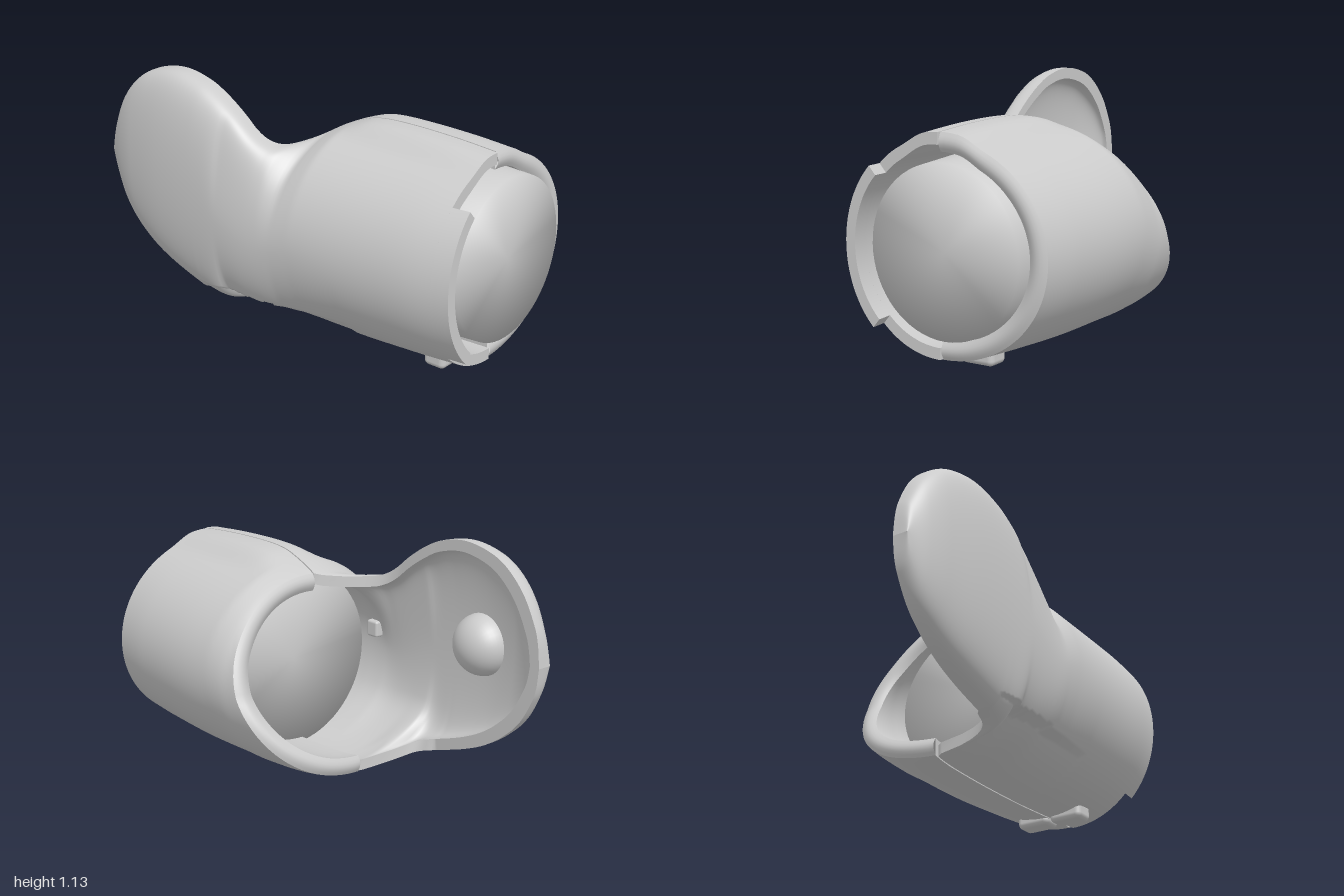
import * as THREE from 'three';
import { mergeVertices, mergeGeometries } from 'three/addons/utils/BufferGeometryUtils.js';
import { RoundedBoxGeometry } from 'three/addons/geometries/RoundedBoxGeometry.js';

const { clamp, lerp, smoothstep } = THREE.MathUtils;

// Smooth curve through [x, value] points
function curve(pts) {
  const n = pts.length;
  const slope = i => {
    const a = pts[Math.max(i - 1, 0)], b = pts[Math.min(i + 1, n - 1)];
    return (b[1] - a[1]) / (b[0] - a[0]);
  };
  return x => {
    if (x <= pts[0][0]) return pts[0][1];
    if (x >= pts[n - 1][0]) return pts[n - 1][1];
    let i = 0;
    while (x > pts[i + 1][0]) i++;
    const [x0, y0] = pts[i], [x1, y1] = pts[i + 1], d = x1 - x0, t = (x - x0) / d;
    const t2 = t * t, t3 = t2 * t;
    return (2 * t3 - 3 * t2 + 1) * y0 + (t3 - 2 * t2 + t) * d * slope(i)
      + (3 * t2 - 2 * t3) * y1 + (t3 - t2) * d * slope(i + 1);
  };
}

// Outlines along x: upper and lower edge, bulge in z, rim position in z
const top = curve([[-1, 0.66], [-0.99, 0.755], [-0.97, 0.83], [-0.9, 0.96], [-0.8, 1.06], [-0.7, 1.11],
  [-0.55, 1.135], [-0.4, 1.11], [-0.3, 1.065], [-0.2, 1.0], [-0.1, 0.92], [-0.04, 0.887], [0, 0.88],
  [0.05, 0.892], [0.1, 0.925], [0.2, 0.97], [0.3, 1.0], [0.45, 1.01], [0.7, 1.005], [0.92, 0.99]]);
const bottom = curve([[-1, 0.66], [-0.99, 0.575], [-0.97, 0.51], [-0.9, 0.39], [-0.8, 0.295], [-0.7, 0.23],
  [-0.6, 0.185], [-0.5, 0.15], [-0.4, 0.12], [-0.3, 0.09], [-0.22, 0.045], [0, 0.025], [0.4, 0.02],
  [0.7, 0.03], [0.92, 0.04]]);
const frontBulge = curve([[-1, 0.42], [-0.9, 0.47], [-0.8, 0.5], [-0.6, 0.525], [-0.3, 0.53], [0, 0.52],
  [0.3, 0.51], [0.6, 0.495], [0.8, 0.48], [1, 0.45]]);
const backBulge = curve([[-0.24, 0.5], [-0.03, 0.52], [0.35, 0.54], [0.7, 0.525], [0.92, 0.5]]);
const upperRim = curve([[-0.35, 0.35], [-0.1, 0.345], [0, 0.28], [0.05, 0.15], [0.09, 0.025], [0.2, 0.025]]);
const lowerRim = curve([[-0.38, 0.35], [-0.29, 0.31], [-0.25, 0.2], [-0.225, 0.025], [-0.1, 0.025]]);
// Roundness of the lower flank, fuller towards the elbow
const lowerPower = curve([[-0.4, 0.55], [-0.25, 0.47], [-0.1, 0.53], [0.1, 0.7], [0.41, 0.97]]);

// One point of a half section; angle 0 is the upper edge, PI the lower edge
function section(x, angle, hi, lo, bulge, rim, thick, inner, flank) {
  const base = x > 0.1 ? Math.min(hi, 0.965) : hi;
  let h = (base - lo) / 2, b = bulge;
  const c = (base + lo) / 2;
  if (inner) {
    h = h * h / (h + 1.2 * thick);
    b -= thick;
  }
  let y = c + h * Math.cos(angle);
  let p = 1 - 0.45 * rim / 0.35;
  // Below the flank the surface drops back to a plain ellipse
  if (flank && Math.cos(angle) < 0) p = lerp(p, flank, inner ? smoothstep(y, 0.12, 0.3) : +(y > 0.17));
  const z = rim + (b - rim) * Math.pow(Math.max(Math.sin(angle), 0), p);
  // Raised ridge along the upper seam
  if (Math.cos(angle) > 0) y += (hi - base) * (1 - smoothstep(z, 0.08, 0.22));
  return new THREE.Vector3(x, y, z);
}

// Grid surface from f(a, b), a and b in 0..1
function grid(f, na, nb, flip) {
  const pos = [], index = [];
  for (let i = 0; i <= na; i++) for (let j = 0; j <= nb; j++) pos.push(...f(i / na, j / nb).toArray());
  for (let i = 0; i < na; i++) for (let j = 0; j < nb; j++) {
    const a = i * (nb + 1) + j, b = a + 1, c = a + nb + 1, d = c + 1;
    index.push(...(flip ? [a, c, b, b, c, d] : [a, b, c, b, d, c]));
  }
  const g = new THREE.BufferGeometry();
  g.setAttribute('position', new THREE.Float32BufferAttribute(pos, 3));
  g.setIndex(index);
  g.computeVertexNormals();
  return g;
}

// Thick shell: outer and inner faces plus four edge walls; ends may be rounded
function shell(point, nu, nv, flip, round = 0) {
  const wall = (u, v, t, dx) => {
    const p = point(u, v, false).lerp(point(u, v, true), t);
    p.x += dx * Math.sin(Math.PI * t);
    return p;
  };
  return mergeGeometries([
    grid((u, v) => point(u, v, false), nu, nv, flip),
    grid((u, v) => point(u, v, true), nu, nv, !flip),
    grid((t, v) => wall(1, v, t, round), 6, nv, flip),
    grid((t, v) => wall(0, v, 1 - t, -round), 6, nv, flip),
    grid((u, t) => wall(u, 0, 1 - t, 0), nu, 1, flip),
    grid((u, t) => wall(u, 1, t, 0), nu, 1, flip),
  ]);
}

export function createModel() {
  const model = new THREE.Group();
  const grey = new THREE.MeshStandardMaterial({ color: 0xcccccc, side: THREE.DoubleSide });
  grey.name = 'light grey';
  const add = (name, geometry, x = 0, y = 0, z = 0) => {
    const mesh = new THREE.Mesh(geometry, grey);
    mesh.name = name;
    mesh.position.set(x, y, z);
    model.add(mesh);
  };

  // Front half with the rounded elbow lobe
  const frontPoint = (x, angle, inner) => {
    const k = (1 - Math.cos(angle)) / 2;
    const rim = clamp(lerp(upperRim(x), lowerRim(x), k), 0.025, 0.35);
    const p = section(x, angle, top(x), bottom(x), frontBulge(x), rim, 0.048, inner, lowerPower(x));
    if (inner) p.x += 0.05 * Math.max(0, -x - 0.3) / 0.7;
    // Shallow recess along the lower edge
    else if (x > -0.39 && x < 0.41 && p.y < 0.17 && p.z > 0.1) p.z -= 0.012;
    return p;
  };
  add('frontShell', shell((u, v, inner) =>
    frontPoint(-1 + 1.92 * Math.pow(u, 1.4), v * Math.PI, inner), 150, 100, false));

  // Lip that extends the middle of the front half
  add('frontLip', shell((u, v, inner) =>
    frontPoint(0.91 + 0.09 * u, 0.75 + v * (Math.PI - 1.48), inner), 4, 36, false));

  // Back half with a slanted opening towards the elbow
  add('backShell', shell((u, v, inner) => {
    const angle = v * Math.PI;
    const start = -0.07 + 0.16 * Math.cos(angle) + 0.04 * Math.sin(angle)
      + 0.035 * Math.min(0, Math.sin(2 * angle));
    const x = start + (0.905 - start) * u;
    const p = section(x, angle, top(Math.max(x, 0.05)), bottom(x), backBulge(x), 0, 0.082, inner);
    p.z = 0.018 - p.z * (1 + 0.018 / 0.53);
    return p;
  }, 50, 56, true, 0.016));

  // Tapered core inside the tube, softly shaded across its ends
  let core = new THREE.CylinderGeometry(0.37, 0.425, 0.79, 64);
  core.deleteAttribute('normal');
  core.deleteAttribute('uv');
  core = mergeVertices(core);
  core.computeVertexNormals();
  core.rotateZ(-Math.PI / 2);
  add('innerCore', core, 0.565, 0.505, -0.03);

  // Dome inside the elbow lobe
  const dome = new THREE.SphereGeometry(0.145, 32, 12, 0, Math.PI * 2, 0, Math.PI / 2);
  dome.rotateX(-Math.PI / 2);
  dome.scale(1, 1, 0.9);
  add('elbowDome', dome, -0.55, 0.64, 0.48);

  // Small clasp on the inner wall
  add('innerClasp', new RoundedBoxGeometry(0.07, 0.08, 0.05, 2, 0.012), 0.13, 0.57, 0.445);

  // Two latch feet on either side of the lower seam
  for (const [name, z] of [['frontLatch', 0.11], ['backLatch', -0.067]])
    add(name, new RoundedBoxGeometry(0.11, 0.08, 0.168, 4, 0.025), 0.745, 0.043, z);

  return model;
}
